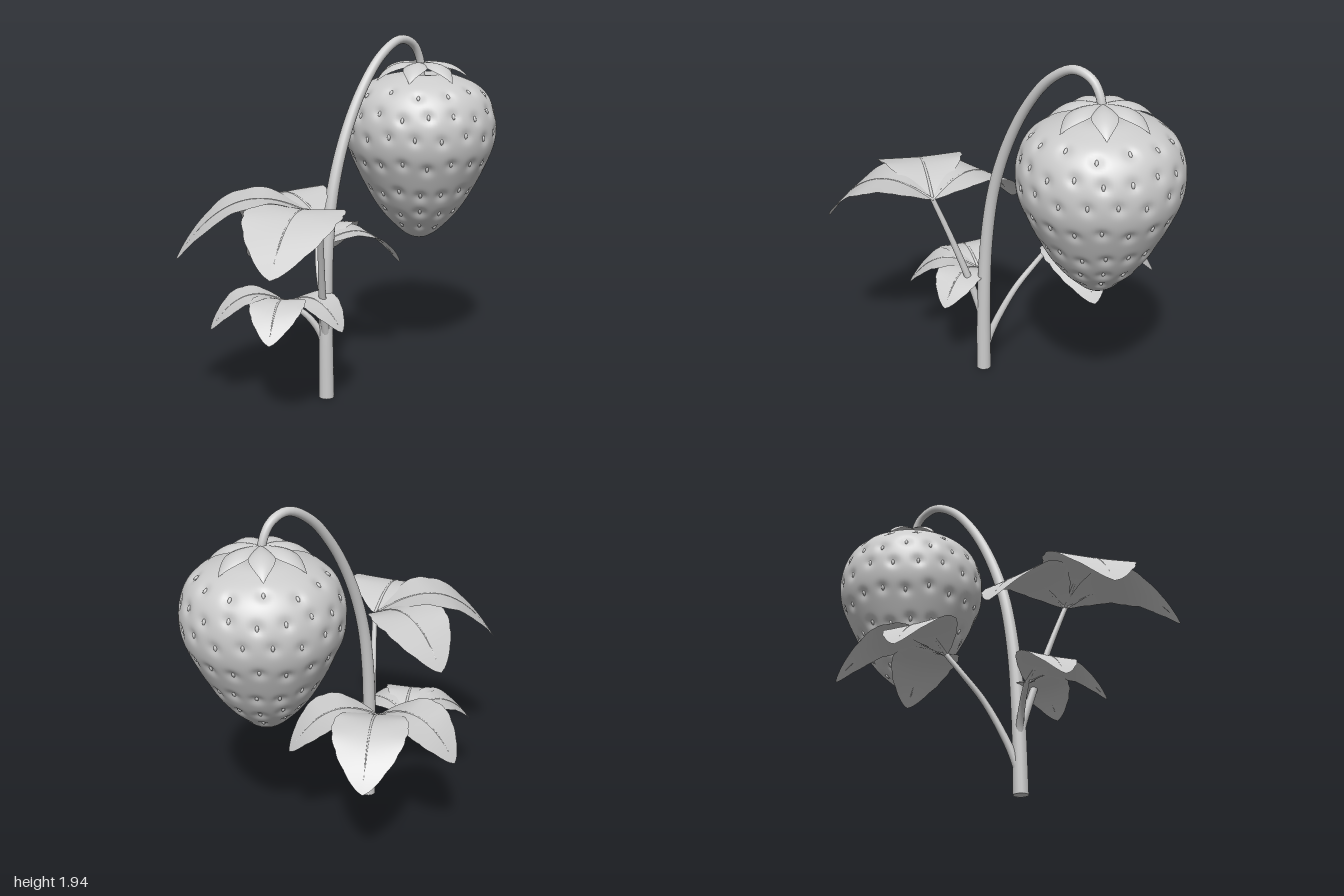
import * as THREE from 'three';
import { mergeGeometries, mergeVertices } from 'three/addons/utils/BufferGeometryUtils.js';

const grey = new THREE.MeshStandardMaterial({ color: 0xcccccc, side: THREE.DoubleSide });
grey.name = 'plainGrey';

const BERRY = new THREE.Vector3(0.575, 0, 0.125);
const v3 = (p) => new THREE.Vector3(...p);

function part(name, geometry) {
  const mesh = new THREE.Mesh(geometry, grey);
  mesh.name = name;
  return mesh;
}

// Round stalk along a curve, tapering from radius r0 to r1
function taperedTube(points, r0, r1, segments = 48) {
  const curve = new THREE.CatmullRomCurve3(points.map(v3));
  const sides = 16;
  const geo = new THREE.TubeGeometry(curve, segments, 1, sides);
  const pos = geo.attributes.position;
  const p = new THREE.Vector3();
  for (let i = 0; i <= segments; i++) {
    const centre = curve.getPointAt(i / segments);
    const r = r0 + (r1 - r0) * i / segments;
    for (let j = 0; j <= sides; j++) {
      const k = i * (sides + 1) + j;
      p.fromBufferAttribute(pos, k).sub(centre).multiplyScalar(r).add(centre);
      pos.setXYZ(k, p.x, p.y, p.z);
    }
  }
  return geo;
}

// Sheet growing from an origin in a horizontal direction; width and height follow rules of t (along) and s (across)
function sheet(origin, angle, length, width, height, nt, ns) {
  const dx = Math.cos(angle), dz = Math.sin(angle);
  const geo = new THREE.PlaneGeometry(1, 1, ns, nt);
  const pos = geo.attributes.position;
  for (let i = 0; i < pos.count; i++) {
    const s = pos.getX(i) * 2, t = pos.getY(i) + 0.5;
    const a = t * length, b = s * width(t);
    pos.setXYZ(i, origin[0] + dx * a - dz * b, origin[1] + height(t, s), origin[2] + dz * a + dx * b);
  }
  geo.computeVertexNormals();
  return geo;
}

// Blade with an upper face and a slightly lower underside that meet at the rim
function blade(origin, angle, length, width, height, thickness, nt = 56, ns = 14) {
  const top = sheet(origin, angle, length, width, height, nt, ns);
  const under = sheet(origin, angle, length, width,
    (t, s) => height(t, s) - thickness * (1 - s ** 4) * Math.sqrt(Math.max(0, Math.sin(Math.PI * t))), nt, ns);
  under.index.array.reverse();
  under.computeVertexNormals();
  return mergeGeometries([top, under]);
}

// Berry outline from tip to crown
const profile = new THREE.SplineCurve([
  [0, 0.768], [0.06, 0.782], [0.135, 0.838], [0.228, 0.94], [0.303, 1.06], [0.373, 1.2], [0.413, 1.3],
  [0.428, 1.4], [0.417, 1.5], [0.382, 1.585], [0.327, 1.645], [0.25, 1.685], [0.14, 1.715], [0, 1.7],
].map((p) => new THREE.Vector2(...p))).getSpacedPoints(110);
profile[0].x = profile[110].x = 0;

// Seed sites in staggered rows: height and number around
function seedSites() {
  const sites = [];
  [[1.63, 13], [1.515, 18], [1.395, 18], [1.24, 18], [1.07, 16], [0.945, 12], [0.85, 8]].forEach(([y, n], row) => {
    let k = 1;
    while (profile[k].y < y) k++;
    const slope = new THREE.Vector2().subVectors(profile[k + 1], profile[k - 1]).normalize();
    for (let i = 0; i < n; i++) {
      const a = (i + (row % 2) / 2) * Math.PI * 2 / n + 0.08;
      const yy = y + 0.015 * Math.sin(i * 2.4 + row);
      const normal = new THREE.Vector3(Math.cos(a) * slope.y, -slope.x, Math.sin(a) * slope.y);
      const r = profile[k].x + (yy - profile[k].y) * slope.x / slope.y;
      sites.push({ p: new THREE.Vector3(Math.cos(a) * r, yy, Math.sin(a) * r), normal });
    }
  });
  return sites;
}

function buildBerry() {
  const group = new THREE.Group();
  group.name = 'berry';
  const sites = seedSites();

  // Flesh with a soft dimple at each seed
  let flesh = new THREE.LatheGeometry(profile, 144);
  flesh.deleteAttribute('uv');
  flesh.deleteAttribute('normal');
  flesh = mergeVertices(flesh, 1e-5);
  const pos = flesh.attributes.position;
  const p = new THREE.Vector3(), q = new THREE.Vector3();
  for (let i = 0; i < pos.count; i++) {
    p.fromBufferAttribute(pos, i);
    q.copy(p);
    for (const site of sites) {
      const d2 = q.distanceToSquared(site.p);
      if (d2 < 0.012) p.addScaledVector(site.normal, -0.015 * Math.exp(-d2 / 0.001));
    }
    pos.setXYZ(i, p.x, p.y, p.z);
  }
  flesh.computeVertexNormals();
  group.add(part('flesh', flesh));

  // Seeds sitting in the dimples
  const dummy = new THREE.Object3D();
  const seeds = sites.map(({ p: at, normal }) => {
    const g = new THREE.SphereGeometry(1, 10, 8);
    dummy.position.copy(at).addScaledVector(normal, -0.012);
    dummy.lookAt(dummy.position.clone().add(normal));
    dummy.scale.set(0.009, 0.016, 0.008);
    dummy.updateMatrix();
    return g.applyMatrix4(dummy.matrix);
  });
  group.add(part('seeds', mergeGeometries(seeds)));

  // Star of seven sepals, flat near the stem and curling down at the tips
  for (let i = 0; i < 7; i++) {
    group.add(part('sepal', blade([0, 1.775, 0], i * Math.PI * 2 / 7, 0.275,
      (t) => 0.066 * Math.sin(Math.PI * Math.pow(t, 1.05)) + 0.001,
      (t, s) => 0.03 * t - 0.125 * Math.pow(t, 3.2) - 0.022 * s * s * Math.sin(Math.PI * t), 0.006, 20, 8)));
  }
  group.position.copy(BERRY);
  return group;
}

// Stalk with three arched leaflets, each [degrees, length, half width]
function buildLeaf(name, stalk, leaflets) {
  const group = new THREE.Group();
  group.name = name;
  group.add(part('leafStalk', taperedTube(stalk, 0.023, 0.014, 28)));
  const joint = stalk[stalk.length - 1];
  for (const [deg, length, half] of leaflets) {
    const angle = deg * Math.PI / 180, k = length / 0.65;
    const arch = (t) => k * (0.39 * t - 0.56 * Math.pow(t, 2.5));
    const width = (t) => half * Math.pow(Math.max(0, Math.sin(Math.PI * Math.pow(t, 1.12))), 0.68)
      * (0.975 + 0.035 * Math.abs(Math.sin(t * Math.PI * 8))) + 0.001;
    const height = (t, s) => arch(t)
      + k * Math.sin(Math.PI * t) * ((0.03 - 0.04 * t) * Math.abs(s) + 0.004 * s * s * Math.sin(t * 22));
    group.add(part('leaflet', blade(joint, angle, length, width, height, 0.012)));

    // Midrib sunk into the fold
    const rib = [];
    for (let i = 0; i <= 8; i++) {
      const t = i * 0.115;
      rib.push([joint[0] + Math.cos(angle) * t * length, joint[1] + arch(t) - 0.003, joint[2] + Math.sin(angle) * t * length]);
    }
    group.add(part('midrib', taperedTube(rib, 0.009, 0.003, 24)));
  }
  return group;
}

export function createModel() {
  const model = new THREE.Group();
  model.name = 'berryPlant';

  // Main stem arching over to the berry
  model.add(part('stem', taperedTube([
    [-0.198, 0, 0.128], [-0.196, 0.4, 0.122], [-0.178, 0.8, 0.112], [-0.125, 1.14, 0.105], [-0.03, 1.42, 0.103],
    [0.1, 1.66, 0.105], [0.25, 1.835, 0.11], [0.4, 1.912, 0.115], [0.51, 1.88, 0.118], [0.565, 1.79, 0.122], [0.575, 1.69, 0.125],
  ], 0.042, 0.022, 90)));
  const base = part('stemBase', new THREE.CircleGeometry(0.042, 16).rotateX(Math.PI / 2));
  base.position.set(-0.198, 0.001, 0.128);
  model.add(base);

  model.add(buildBerry());

  model.add(buildLeaf('upperLeaf',
    [[-0.2, 0.34, 0.13], [-0.235, 0.46, 0.145], [-0.285, 0.64, 0.18], [-0.35, 0.87, 0.235], [-0.41, 1.065, 0.285]],
    [[218, 0.725, 0.24], [278, 0.6, 0.23], [157, 0.62, 0.25]]));
  model.add(buildLeaf('lowerLeaf',
    [[-0.2, 0.27, 0.125], [-0.22, 0.37, 0.1], [-0.275, 0.47, 0.05], [-0.35, 0.54, -0.02]],
    [[147, 0.41, 0.145], [209, 0.42, 0.15], [82, 0.365, 0.14]]));
  model.add(buildLeaf('backLeaf',
    [[-0.2, 0.1, 0.12], [-0.165, 0.25, 0.08], [-0.08, 0.49, -0.02], [-0.01, 0.635, -0.12], [0.05, 0.742, -0.187]],
    [[-36, 0.585, 0.2], [-98, 0.5, 0.19], [26, 0.51, 0.185]]));

  return model;
}
